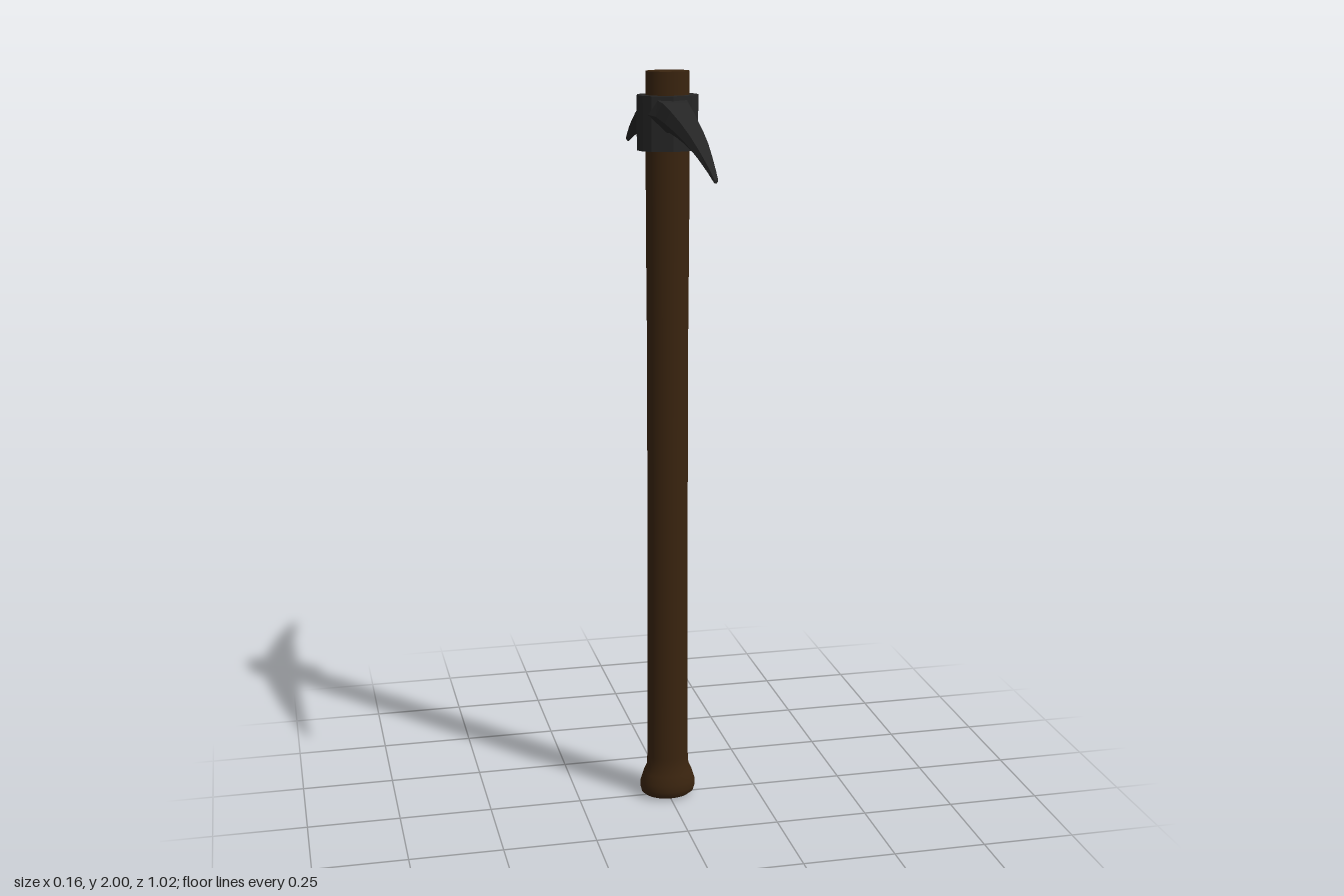
import * as THREE from 'three';

// Loft of cross-sections along +z, closed at the tip
function loft(rings) {
  const n = rings[0].length, pos = rings.flat(2), idx = [];
  for (let i = 0; i < rings.length - 1; i++) {
    for (let j = 0; j < n; j++) {
      const k = (j + 1) % n, a = i * n + j, b = i * n + k, c = b + n, d = a + n;
      idx.push(a, b, c, a, c, d);
    }
  }
  const last = (rings.length - 1) * n;
  for (let j = 1; j < n - 1; j++) idx.push(last, last + j, last + j + 1);
  const g = new THREE.BufferGeometry();
  g.setAttribute('position', new THREE.Float32BufferAttribute(pos, 3));
  g.setIndex(idx);
  const flat = g.toNonIndexed();
  flat.computeVertexNormals();
  return flat;
}

export function createModel() {
  const group = new THREE.Group();
  const wood = new THREE.MeshStandardMaterial({ color: 0x3a240f });
  wood.name = 'dark wood';
  const metal = new THREE.MeshStandardMaterial({ color: 0x262626 });
  metal.name = 'dark iron';

  const add = (name, geometry, material) => {
    const mesh = new THREE.Mesh(geometry, material);
    mesh.name = name;
    group.add(mesh);
    return mesh;
  };

  // Oval shaft with a flared grip end
  const shaft = [
    [0.064, 0.005], [0.073, 0.012], [0.077, 0.026], [0.076, 0.045], [0.068, 0.07],
    [0.059, 0.09], [0.057, 0.12], [0.055, 0.5], [0.055, 1.3], [0.057, 1.6], [0.057, 2],
  ].map(([r, y]) => new THREE.Vector2(r, y));
  add('handle', new THREE.LatheGeometry(shaft, 32).scale(1, 1, 0.8), wood);

  // End faces of the shaft
  add('handleTop', new THREE.CircleGeometry(0.057, 32).rotateX(-Math.PI / 2).scale(1, 1, 0.8).translate(0, 2, 0), wood);
  add('handleBottom', new THREE.ConeGeometry(0.064, 0.005, 32, 1, true).rotateX(Math.PI).scale(1, 1, 0.8).translate(0, 0.0025, 0), wood);

  // Faceted socket around the shaft
  const quarter = [[0.081, 0], [0.072, 0.033], [0.053, 0.05], [0, 0.066]];
  const outline = [
    ...quarter,
    ...quarter.slice(0, 3).reverse().map(([x, y]) => [-x, y]),
    ...quarter.slice(1).map(([x, y]) => [-x, -y]),
    ...quarter.slice(1, 3).reverse().map(([x, y]) => [x, -y]),
  ];
  const socket = new THREE.Shape(outline.map(([x, y]) => new THREE.Vector2(x, y)));
  add('socket', new THREE.ExtrudeGeometry(socket, { depth: 0.14, bevelEnabled: false })
    .rotateX(-Math.PI / 2).translate(0, 1.8, 0), metal);

  // Curved, tapering picks: z, top, bottom, half width
  const stations = [
    [0.02, 1.935, 1.84, 0.065], [0.05, 1.93, 1.848, 0.06], [0.085, 1.925, 1.851, 0.05],
    [0.16, 1.911, 1.846, 0.044], [0.24, 1.891, 1.837, 0.036], [0.32, 1.867, 1.824, 0.028],
    [0.4, 1.836, 1.806, 0.019], [0.47, 1.805, 1.785, 0.011], [0.505, 1.786, 1.773, 0.007],
    [0.512, 1.78, 1.773, 0.004],
  ];
  const section = [[-0.3, 0], [0.3, 0], [1, 0.55], [0.65, 1], [-0.65, 1], [-1, 0.55]];
  const pick = loft(stations.map(([z, top, bottom, w]) =>
    section.map(([x, t]) => [x * w, bottom + t * (top - bottom), z])));
  add('frontPick', pick, metal);
  add('backPick', pick, metal).rotation.y = Math.PI;

  return group;
}
